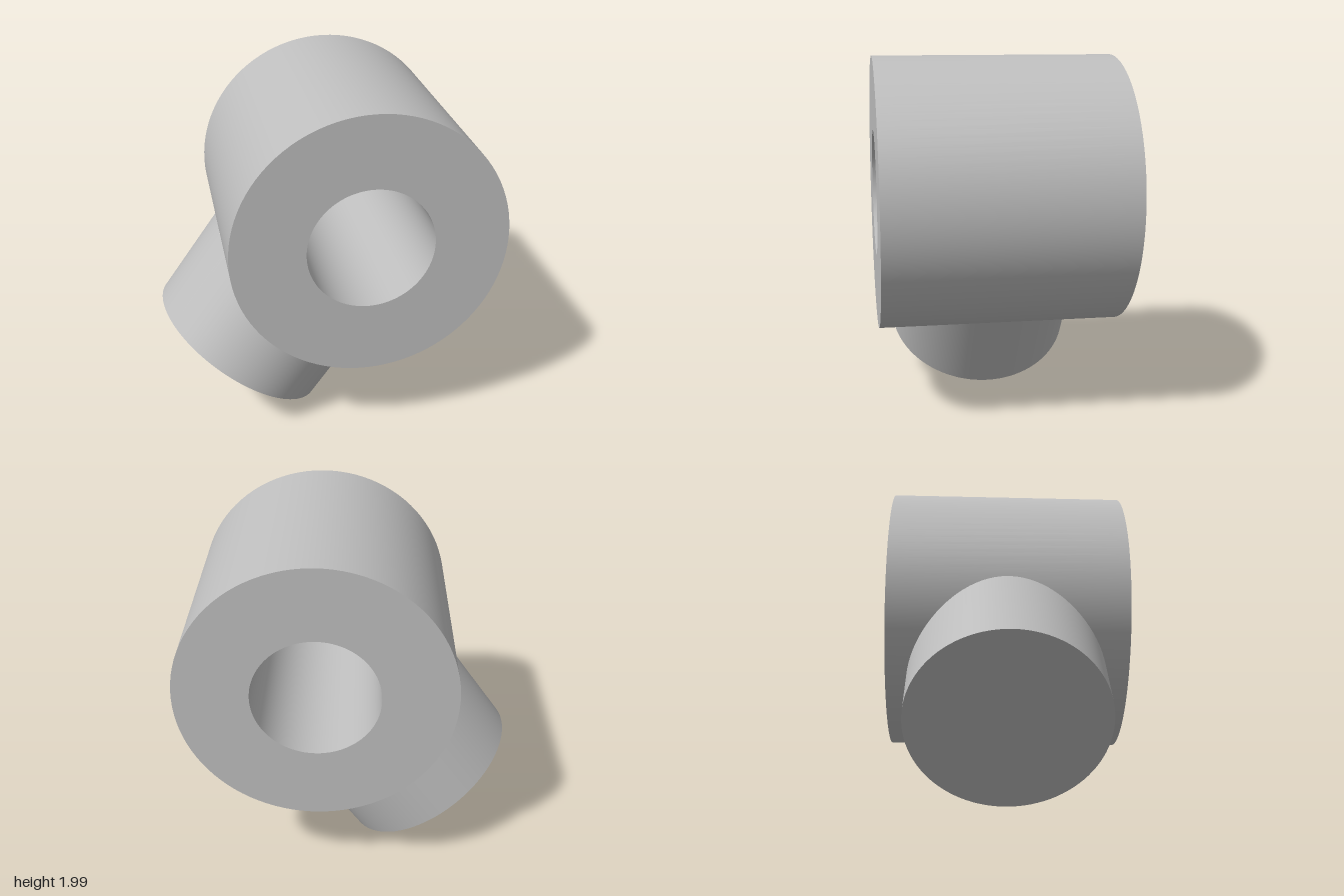
import * as THREE from 'three';
import { mergeGeometries } from 'three/addons/utils/BufferGeometryUtils.js';

const SEGMENTS = 96;
const OUTER = 0.76, BORE = 0.35, HALF = 0.672; // sleeve
const STUB = 0.558, REACH = 1.117;             // stub radius, distance of its end from the bore axis

// Each straight profile segment is turned on its own, so edges between them stay sharp
function turned(points) {
  const bands = [];
  for (let i = 0; i < points.length - 1; i++) {
    const pair = [points[i], points[i + 1]].map(([r, y]) => new THREE.Vector2(r, y));
    bands.push(new THREE.LatheGeometry(pair, SEGMENTS));
  }
  return mergeGeometries(bands);
}

export function createModel() {
  const model = new THREE.Group();
  model.name = 'teeFitting';
  const grey = new THREE.MeshStandardMaterial({ color: 0xbfbfbf });
  grey.name = 'plain grey';

  // Thick sleeve with a through bore along z
  const sleeveGeometry = turned([
    [OUTER, -HALF], [OUTER, HALF], [BORE, HALF], [BORE, -HALF], [OUTER, -HALF],
  ]);
  sleeveGeometry.rotateX(Math.PI / 2);
  const sleeve = new THREE.Mesh(sleeveGeometry, grey);
  sleeve.name = 'sleeve';

  // Solid round stub, its open top trimmed to the sleeve's curved wall
  const stubGeometry = turned([[0, -REACH], [STUB, -REACH], [STUB, 0]]);
  const p = stubGeometry.attributes.position;
  for (let i = 0; i < p.count; i++) {
    if (p.getY(i) > -0.01) p.setY(i, -Math.sqrt(OUTER ** 2 - p.getX(i) ** 2));
  }
  const stub = new THREE.Mesh(stubGeometry, grey);
  stub.name = 'stub';
  stub.rotation.z = -0.617;

  // Both parts share the bore axis as origin
  const body = new THREE.Group();
  body.name = 'body';
  body.position.set(0.17, 1.24, 0);
  body.add(sleeve, stub);
  model.add(body);
  return model;
}
